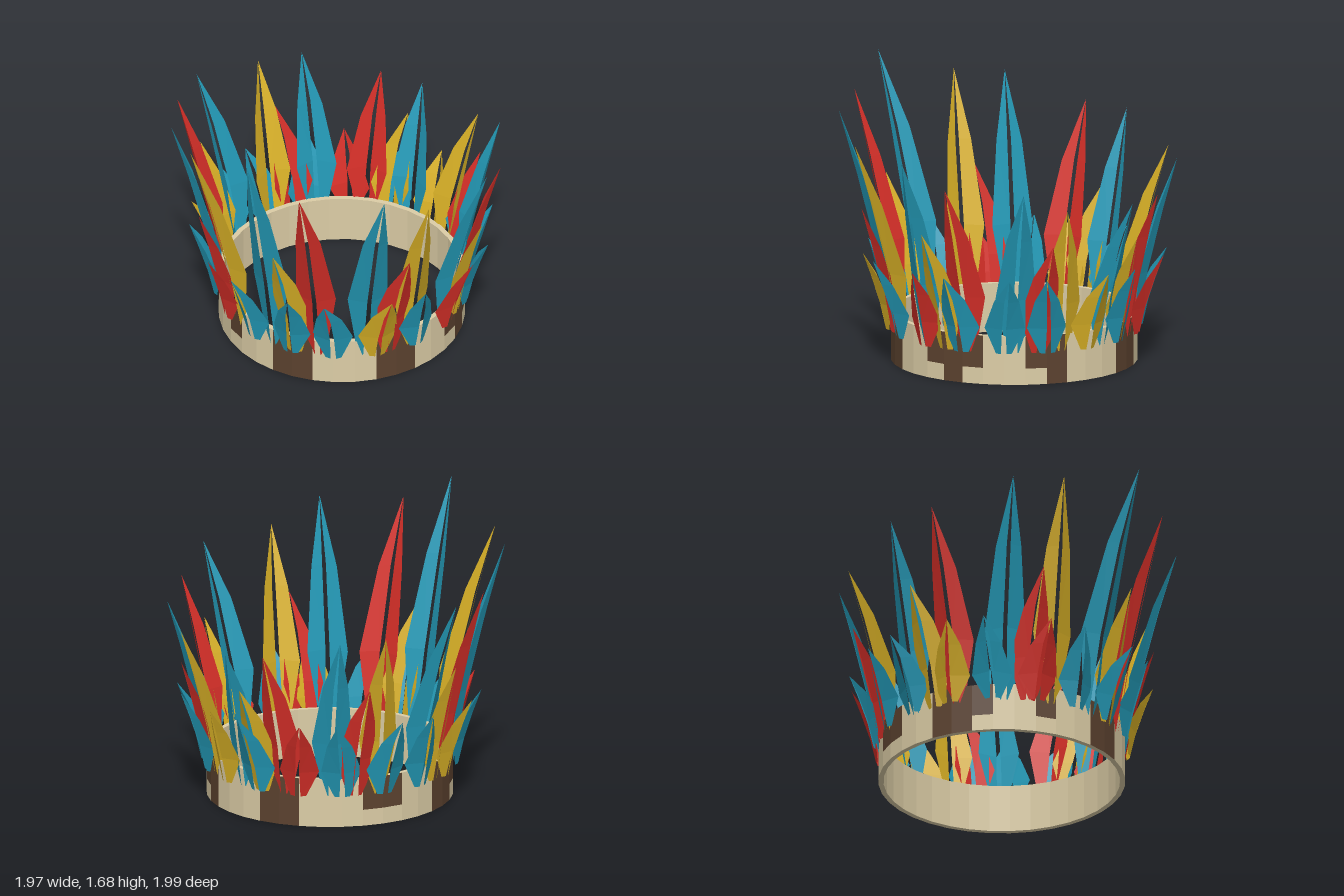
import * as THREE from 'three';
import { mergeGeometries } from 'three/addons/utils/BufferGeometryUtils.js';

const R = 0.72, R_IN = 0.69, H = 0.29, BASE_Y = 0.19;
const DEG = Math.PI / 180;

function flat(geometry) {
  const g = geometry.index ? geometry.toNonIndexed() : geometry;
  g.computeVertexNormals();
  return g;
}

function material(name, color) {
  const m = new THREE.MeshStandardMaterial({ color, side: THREE.DoubleSide });
  m.name = name;
  return m;
}

// Split, ridged feather: rows of [height fraction, slit half width, half width, fold depth]
const ROWS = [
  [0, 0.016, 0.046, 0.015],
  [0.33, 0.012, 0.118, 0.055],
  [0.7, 0.011, 0.074, 0.035],
  [1, 0, 0, 0],
];

function featherGeometry(height, radius, lean, bend) {
  const pos = [];
  for (const side of [-1, 1]) {
    const edge = ROWS.map(([t, gap, width, fold]) => {
      const x = bend * t * t, y = BASE_Y + height * t, z = radius + lean * t ** 1.25;
      return [[x + side * gap, y, z], [x + side * width, y, z - fold]];
    });
    for (let i = 0; i < edge.length - 1; i++) {
      const [a, b] = edge[i], [c, d] = edge[i + 1];
      const last = i === edge.length - 2;
      const tris = last ? [[a, b, d]] : [[a, b, d], [a, d, c]];
      for (const [p, q, r] of tris) pos.push(...(side > 0 ? [p, q, r] : [p, r, q]).flat());
    }
  }
  const g = new THREE.BufferGeometry();
  g.setAttribute('position', new THREE.Float32BufferAttribute(pos, 3));
  return flat(g);
}

export function createModel() {
  const teal = material('teal', 0x2399b6);
  const red = material('red', 0xd62f28);
  const yellow = material('yellow', 0xd8b026);
  const beige = material('beige', 0xdccda6);
  const brown = material('brown', 0x5c422f);

  const model = new THREE.Group();
  model.name = 'featherCrown';
  const crown = new THREE.Group();
  crown.name = 'crown';
  crown.position.z = -0.075;
  model.add(crown);

  // Band outside: 36 columns x 3 rows; bits mark brown cells from the bottom row up
  const pattern = {
    0: 7, 1: 7, 5: 7, 6: 7, 9: 6, 10: 7, 11: 6, 14: 6, 15: 7,
    19: 7, 20: 7, 24: 6, 25: 6, 28: 7, 29: 7, 30: 6, 33: 6,
  };
  const cells = { beige: [], brown: [] };
  for (let col = 0; col < 36; col++) {
    for (let row = 0; row < 3; row++) {
      const cell = new THREE.CylinderGeometry(R, R, H / 3, 1, 1, true, col * 10 * DEG, 10 * DEG);
      cell.translate(0, (row + 0.5) * H / 3, 0);
      cells[(pattern[col] || 0) & (1 << row) ? 'brown' : 'beige'].push(flat(cell));
    }
  }
  const band = new THREE.Group();
  band.name = 'headband';
  crown.add(band);
  const addBand = (name, geometry, mat) => {
    const mesh = new THREE.Mesh(geometry, mat);
    mesh.name = name;
    band.add(mesh);
  };
  addBand('bandOutside', mergeGeometries(cells.beige), beige);
  addBand('bandPattern', mergeGeometries(cells.brown), brown);

  // Band rims and inside wall
  const profile = [[R, H], [R_IN, H], [R_IN, 0], [R, 0]].map(([x, y]) => new THREE.Vector2(x, y));
  // Profile runs downward on the inside, so flip x-winding to face outward from the solid
  profile.reverse();
  const inner = flat(new THREE.LatheGeometry(profile, 36));
  // Turn faces if the inner wall points away from the axis
  const p = inner.attributes.position, n = inner.attributes.normal;
  let facing = 0;
  for (let i = 0; i < p.count; i++) facing += p.getX(i) * n.getX(i) + p.getZ(i) * n.getZ(i);
  if (facing > 0) {
    for (let i = 0; i < p.count; i += 3) {
      const b = new THREE.Vector3().fromBufferAttribute(p, i + 1);
      const c = new THREE.Vector3().fromBufferAttribute(p, i + 2);
      p.setXYZ(i + 1, c.x, c.y, c.z);
      p.setXYZ(i + 2, b.x, b.y, b.z);
    }
    inner.computeVertexNormals();
  }
  addBand('bandInside', inner, beige);

  function ring(name, count, start, spec) {
    const group = new THREE.Group();
    group.name = name;
    for (let i = 0; i < count; i++) {
      const angle = start + i * 360 / count;
      const fromFront = Math.min(angle, 360 - angle);
      const { height, radius, lean, bend, mat } = spec(i, fromFront);
      const feather = new THREE.Mesh(featherGeometry(height, radius, lean, bend), mat);
      feather.name = 'feather';
      feather.rotation.y = angle * DEG;
      group.add(feather);
    }
    crown.add(group);
  }

  // Tall feathers shrink from front to back
  ring('tallFeathers', 16, 0, (i, a) => {
    const odd = i % 2 === 1;
    const height = odd ? 1.32 * 0.873 ** ((a - 22.5) / 45) : 1.49 * 0.873 ** (a / 45);
    return {
      height, radius: 0.72, lean: 0.232 * height, bend: odd ? -0.05 : 0.05,
      mat: odd ? (i % 4 === 1 ? red : yellow) : teal,
    };
  });

  // Middle feathers
  ring('middleFeathers', 8, 11.25, (i, a) => {
    const height = 0.81 - 0.001 * a;
    return {
      height, radius: 0.73, lean: 0.25 * height, bend: i % 2 ? 0.05 : -0.05,
      mat: i % 2 ? red : yellow,
    };
  });

  // Short feathers around the outside
  ring('shortFeathers', 18, 10, (i) => ({
    height: 0.465, radius: 0.75, lean: 0.14, bend: i % 2 ? -0.045 : 0.045,
    mat: i % 6 === 2 ? yellow : i % 6 === 4 ? red : teal,
  }));

  return model;
}
